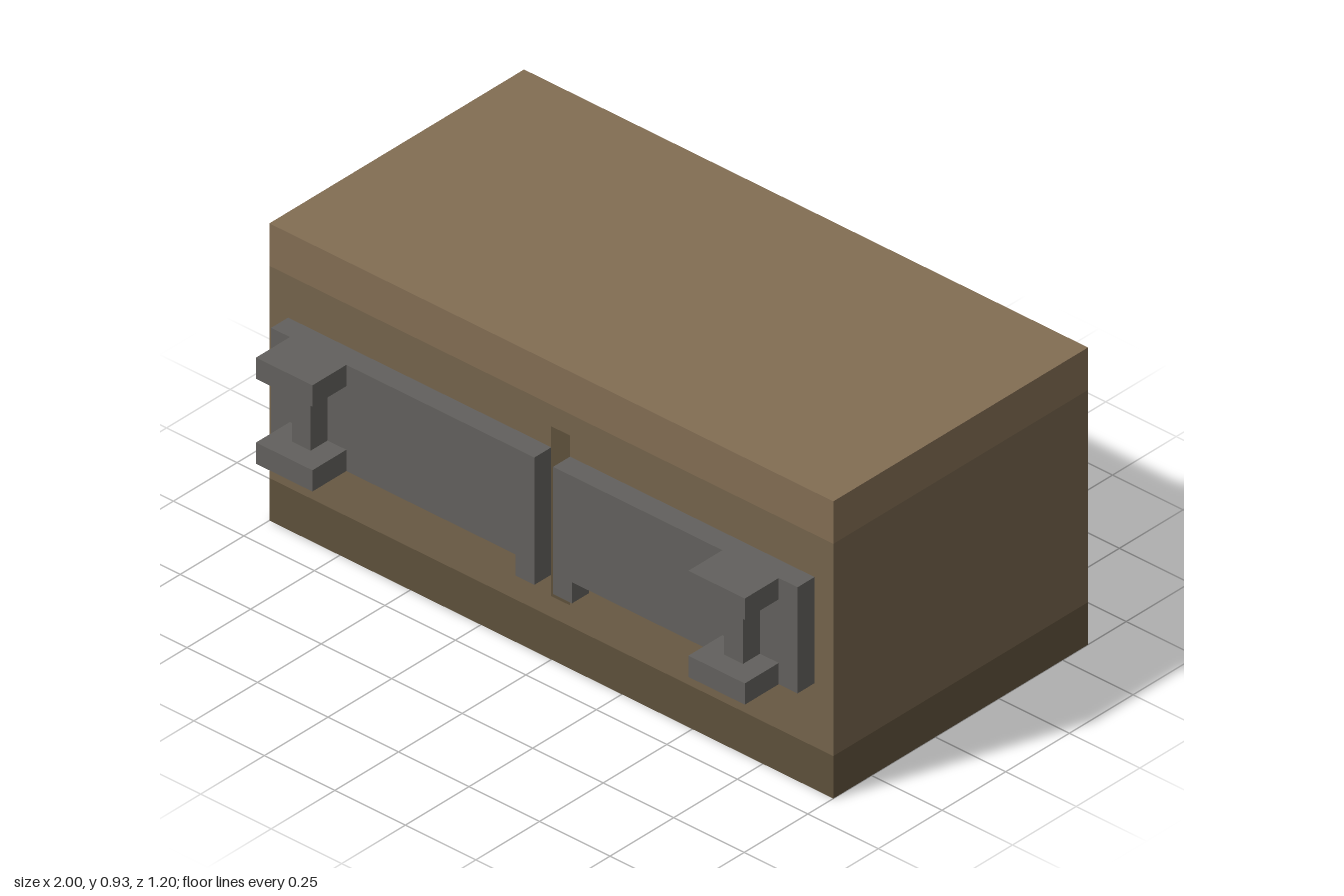
import * as THREE from 'three';

const U = 1 / 15; // module size: every part sits on this grid
const FRONT = 6 * U; // front face of the chest body

const material = (color) => new THREE.MeshStandardMaterial({ color, flatShading: true });

function add(parent, name, geometry, mat) {
  const mesh = new THREE.Mesh(geometry, mat);
  mesh.name = name;
  parent.add(mesh);
  return mesh;
}

// Box from its minimum and maximum corners
function boxBetween(a, b) {
  const size = a.map((v, i) => b[i] - v);
  return new THREE.BoxGeometry(...size).translate(...a.map((v, i) => (v + b[i]) / 2));
}

// Box that keeps only the listed faces (0 +x, 1 -x, 2 +y, 3 -y, 4 +z, 5 -z)
function shellBox(a, b, faces) {
  const geometry = boxBetween(a, b);
  const index = Array.from(geometry.index.array);
  geometry.setIndex(faces.flatMap((f) => index.slice(f * 6, f * 6 + 6)));
  geometry.clearGroups();
  return geometry;
}

export function createModel() {
  const model = new THREE.Group();
  model.name = 'chest';
  const lightWood = material(0x826d53);
  const midWood = material(0x74634b);
  const darkWood = material(0x5e503b);
  const metal = material(0x62605d);

  // Body: three stacked colour bands forming one closed block
  const body = new THREE.Group();
  body.name = 'body';
  model.add(body);
  const band = (name, y0, y1, mat, caps) =>
    add(body, name, shellBox([-1, y0, -0.6], [1, y1, FRONT], [0, 1, 4, 5, ...caps]), mat);
  band('baseBand', 0, 2 * U, darkWood, [3]);
  band('middleBand', 2 * U, 12 * U, midWood, []);
  band('topBand', 12 * U, 14 * U, lightWood, [2]);

  // Flat seam between the two latch plates
  const seam = add(model, 'seam', new THREE.PlaneGeometry(U, 8 * U), darkWood);
  seam.position.set(U / 2, 7 * U, FRONT + 0.001);

  // Latches: plate with a lower tab at its inner end, and an I-shaped handle
  for (const side of [-1, 1]) {
    const latch = new THREE.Group();
    latch.name = side > 0 ? 'leftLatch' : 'rightLatch';
    model.add(latch);

    const inner = side > 0 ? U : 0;
    const outer = side * 14 * U;
    const tab = inner + side * U;
    const outline = [
      [inner, 4 * U], [tab, 4 * U], [tab, 5 * U],
      [outer, 5 * U], [outer, 10 * U], [inner, 10 * U],
    ].map(([x, y]) => new THREE.Vector2(x, y));
    const plate = new THREE.ExtrudeGeometry(new THREE.Shape(outline), { depth: U, bevelEnabled: false });
    add(latch, 'plate', plate.translate(0, 0, FRONT), metal);

    const cx = side * 11.5 * U;
    const z = FRONT + U;
    for (const [name, y] of [['lowerFlange', 5 * U], ['upperFlange', 9 * U]])
      add(latch, name, boxBetween([cx - 1.5 * U, y, z], [cx + 1.5 * U, y + U, z + 2 * U]), metal);
    add(latch, 'post', boxBetween([cx - U / 2, 6 * U, z], [cx + U / 2, 9 * U, z + U]), metal);
  }
  return model;
}
